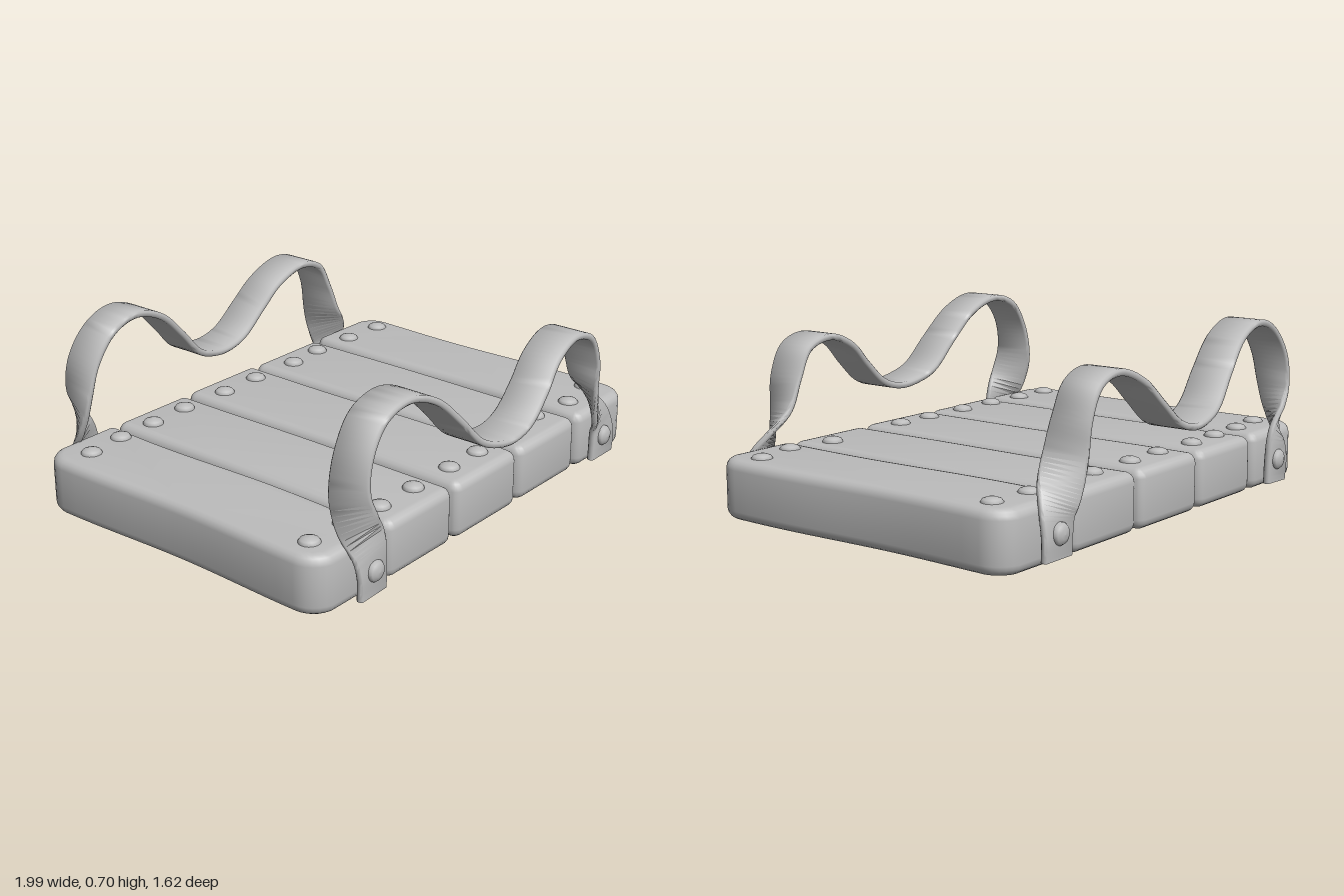
import * as THREE from 'three';
import { toCreasedNormals } from 'three/addons/utils/BufferGeometryUtils.js';

const stone = new THREE.MeshStandardMaterial({ color: 0xbcbcbc });
stone.name = 'plain grey';

function add(parent, name, geometry) {
  const mesh = new THREE.Mesh(geometry, stone);
  mesh.name = name;
  parent.add(mesh);
  return mesh;
}

// One plank: wavy long edges, rounded plan corners, bevelled rims
function plankGeometry({ left, right, end, rl, rr, phase, wave, top }) {
  const edge = (x, z, p) => x + wave * Math.sin(z * 5.5 + p);
  const pts = [];
  const arc = (cx, cz, r, from) => {
    for (let k = 1; k < 7; k++) {
      const a = from + (k / 7) * Math.PI / 2;
      pts.push(new THREE.Vector2(cx + r * Math.cos(a), cz + r * Math.sin(a)));
    }
  };
  const side = (x, r, p, dir) => {
    for (let i = 0; i <= 16; i++) {
      const z = dir * (end - r) * (i / 8 - 1);
      pts.push(new THREE.Vector2(edge(x, z, p), z));
    }
  };
  const zr = end - rr, zl = end - rl, q = phase + 0.8;
  side(right, rr, phase, 1);
  arc(edge(right, zr, phase) - rr, zr, rr, 0);
  arc(edge(left, zl, q) + rl, zl, rl, Math.PI / 2);
  side(left, rl, q, -1);
  arc(edge(left, -zl, q) + rl, -zl, rl, Math.PI);
  arc(edge(right, -zr, phase) - rr, -zr, rr, Math.PI * 1.5);
  const b = 0.038, bottom = 0.003;
  const geo = new THREE.ExtrudeGeometry(new THREE.Shape(pts), {
    depth: top - bottom - 2 * b, steps: 1, bevelEnabled: true,
    bevelThickness: b, bevelSize: b, bevelOffset: -b, bevelSegments: 4,
  });
  geo.rotateX(Math.PI / 2);
  geo.translate(0, top - b, 0);
  return toCreasedNormals(geo, 0.7);
}

// Flattened dome with a short rim, base on y = 0
function rivetGeometry() {
  const profile = [[0.041, -0.02], [0.041, 0.008], [0.034, 0.018], [0.018, 0.024], [0, 0.026]];
  return new THREE.LatheGeometry(profile.map(p => new THREE.Vector2(...p)), 20);
}

// Twisted strap: x, y, z of the centre line, twist in degrees, half width
const strapPath = [
  [-0.745, 0.025, 0.722, 0, 0.072],
  [-0.748, 0.12, 0.724, 0, 0.074],
  [-0.758, 0.21, 0.715, 14, 0.076],
  [-0.79, 0.31, 0.69, 52, 0.078],
  [-0.805, 0.42, 0.672, 80, 0.08],
  [-0.775, 0.55, 0.666, 90, 0.08],
  [-0.69, 0.657, 0.66, 90, 0.08],
  [-0.56, 0.694, 0.665, 90, 0.081],
  [-0.42, 0.645, 0.673, 90, 0.082],
  [-0.3, 0.535, 0.688, 90, 0.085],
  [-0.2, 0.43, 0.702, 90, 0.087],
  [-0.1, 0.387, 0.716, 90, 0.087],
  [0, 0.378, 0.722, 90, 0.087],
  [0.1, 0.41, 0.722, 90, 0.086],
  [0.2, 0.495, 0.716, 90, 0.084],
  [0.3, 0.585, 0.702, 90, 0.082],
  [0.43, 0.634, 0.692, 90, 0.082],
  [0.55, 0.6, 0.692, 90, 0.082],
  [0.61, 0.49, 0.69, 92, 0.082],
  [0.642, 0.37, 0.688, 110, 0.082],
  [0.69, 0.27, 0.7, 145, 0.082],
  [0.728, 0.19, 0.716, 170, 0.08],
  [0.738, 0.11, 0.724, 180, 0.08],
  [0.738, 0.03, 0.722, 180, 0.078],
];

function strapGeometry() {
  const centre = new THREE.CatmullRomCurve3(strapPath.map(p => new THREE.Vector3(p[0], p[1], p[2])), false, 'catmullrom');
  const shape = new THREE.CatmullRomCurve3(strapPath.map(p => new THREE.Vector3(THREE.MathUtils.degToRad(p[3]), p[4], 0)), false, 'catmullrom');
  const n = 138, half = 0.013, pos = [], index = [];
  // Section with slightly chamfered corners, in width and thickness units
  const section = [[-1, -0.5], [-0.92, -1], [0.92, -1], [1, -0.5], [1, 0.5], [0.92, 1], [-0.92, 1], [-1, 0.5]];
  const m = section.length;
  for (let i = 0; i <= n; i++) {
    const c = centre.getPoint(i / n), t = centre.getTangent(i / n), s = shape.getPoint(i / n);
    const w = new THREE.Vector3(Math.cos(s.x), 0, Math.sin(s.x));
    w.addScaledVector(t, -w.dot(t)).normalize();
    const up = new THREE.Vector3().crossVectors(t, w).normalize();
    for (const [a, b] of section) {
      const p = c.clone().addScaledVector(w, a * s.y).addScaledVector(up, b * half);
      pos.push(p.x, p.y, p.z);
    }
  }
  for (let i = 0; i < n; i++) for (let j = 0; j < m; j++) {
    const a = i * m + j, b = i * m + (j + 1) % m;
    index.push(a, b, b + m, a, b + m, a + m);
  }
  for (let j = 1; j < m - 1; j++) {
    index.push(0, j + 1, j, n * m, n * m + j, n * m + j + 1);
  }
  const geo = new THREE.BufferGeometry();
  geo.setAttribute('position', new THREE.Float32BufferAttribute(pos, 3));
  geo.setIndex(index);
  return toCreasedNormals(geo, 0.9);
}

export function createModel() {
  const model = new THREE.Group();
  model.name = 'plankTray';

  // Five planks side by side; the outer two have rounder outside corners
  const planks = [
    { left: -0.988, right: -0.625, rl: 0.11, rr: 0.045, end: 0.69, phase: 0.6, wave: 0.008, top: 0.234 },
    { left: -0.612, right: -0.224, rl: 0.045, rr: 0.045, end: 0.692, phase: 1.6, wave: 0.003, top: 0.232 },
    { left: -0.212, right: 0.186, rl: 0.045, rr: 0.045, end: 0.695, phase: 0, wave: 0.003, top: 0.234 },
    { left: 0.198, right: 0.598, rl: 0.045, rr: 0.045, end: 0.692, phase: 2.4, wave: 0.003, top: 0.232 },
    { left: 0.61, right: 0.985, rl: 0.045, rr: 0.11, end: 0.697, phase: -0.6, wave: 0.008, top: 0.235 },
  ];
  planks.forEach((p, i) => add(model, `plank${i + 1}`, plankGeometry(p)));

  // Rivets along the back and front ends of the planks
  const rivet = rivetGeometry();
  const rows = {
    back: [[-0.87, -0.545], [-0.7, -0.565], [-0.52, -0.57], [-0.335, -0.58], [-0.11, -0.57],
      [0.085, -0.575], [0.32, -0.57], [0.495, -0.585], [0.7, -0.575], [0.89, -0.565]],
    front: [[-0.89, 0.565], [-0.71, 0.567], [-0.525, 0.58], [-0.33, 0.58], [-0.11, 0.58],
      [0.07, 0.58], [0.5, 0.553], [0.705, 0.58], [0.89, 0.54]],
  };
  for (const [row, spots] of Object.entries(rows)) {
    for (const [x, z] of spots) add(model, `${row}Rivet`, rivet).position.set(x, 0.228, z);
  }

  // Strap handle with its two side rivets, front and mirrored at the back
  const strap = strapGeometry();
  const mirrored = strap.clone().scale(1, 1, -1);
  const p = mirrored.attributes.position, nrm = mirrored.attributes.normal;
  for (const attr of [p, nrm]) {
    for (let i = 0; i < attr.count; i += 3) {
      const b = [attr.getX(i + 1), attr.getY(i + 1), attr.getZ(i + 1)];
      attr.setXYZ(i + 1, attr.getX(i + 2), attr.getY(i + 2), attr.getZ(i + 2));
      attr.setXYZ(i + 2, ...b);
    }
  }
  for (const side of [1, -1]) {
    const handle = new THREE.Group();
    handle.name = side > 0 ? 'frontHandle' : 'backHandle';
    add(handle, 'strap', side > 0 ? strap : mirrored);
    for (const x of [-0.743, 0.735]) {
      const r = add(handle, 'strapRivet', rivet);
      r.position.set(x, 0.12, side * 0.732);
      r.rotation.x = side * Math.PI / 2;
    }
    model.add(handle);
  }
  return model;
}
